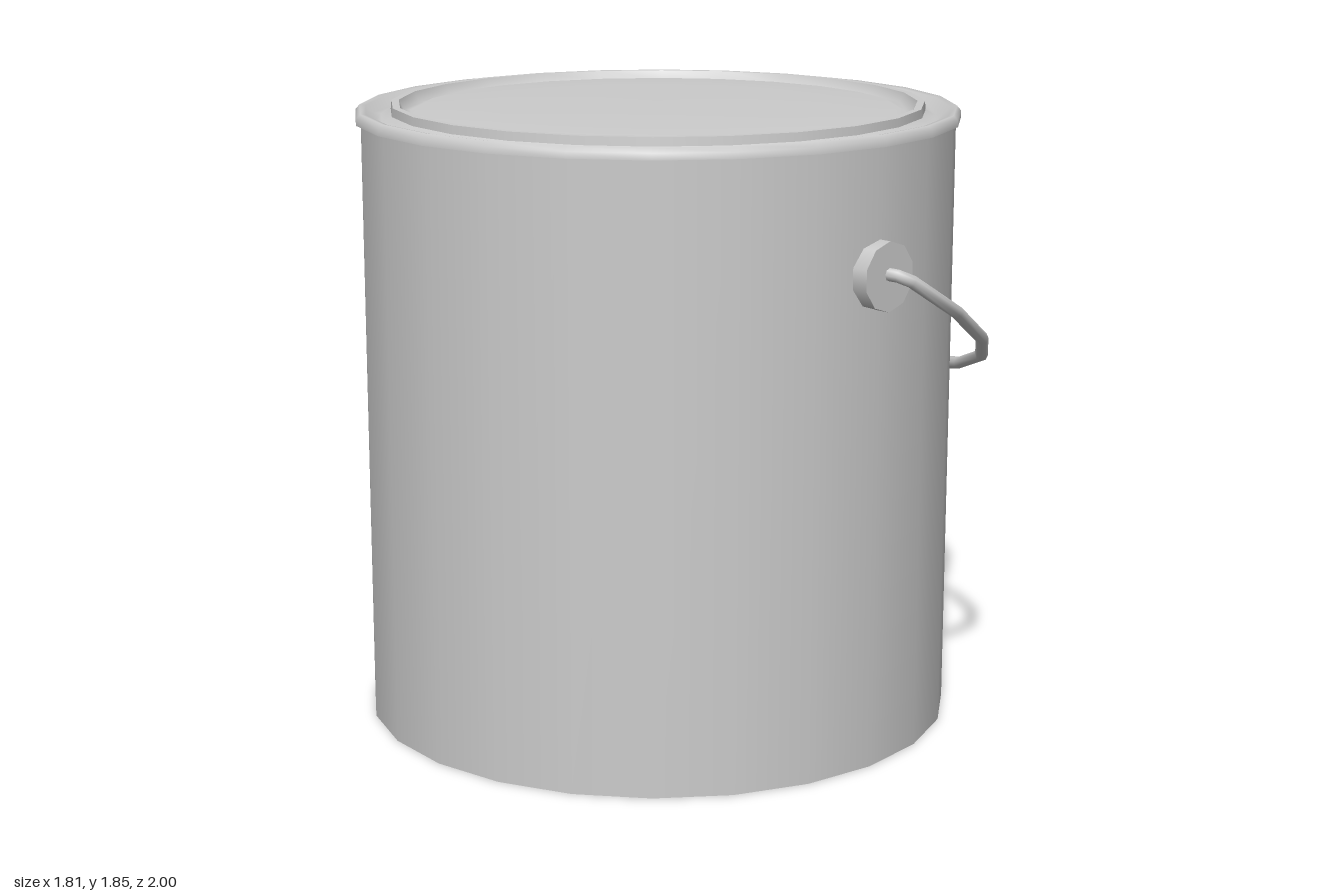
import * as THREE from 'three';

const material = new THREE.MeshStandardMaterial({ color: 0xcccccc });
const SIDES = 24;
const CX = -0.008, CZ = 0.004; // axis of the can

// Polyline curve whose samples fall exactly on its points
class WirePath extends THREE.Curve {
  constructor(points) {
    super();
    this.points = points;
  }
  getPointAt(t, target = new THREE.Vector3()) {
    return target.copy(this.points[Math.round(t * (this.points.length - 1))]);
  }
  getPoint(t, target) {
    return this.getPointAt(t, target);
  }
  getTangentAt(t, target = new THREE.Vector3()) {
    const p = this.points, i = Math.round(t * (p.length - 1));
    target.set(0, 0, 0);
    if (i > 0) target.add(p[i].clone().sub(p[i - 1]).normalize());
    if (i < p.length - 1) target.add(p[i + 1].clone().sub(p[i]).normalize());
    return target.normalize();
  }
}

function addMesh(parent, name, geometry) {
  const mesh = new THREE.Mesh(geometry, material);
  mesh.name = name;
  parent.add(mesh);
  return mesh;
}

// Profile runs from bottom/outside to top/inside so faces point outward
const lathe = (profile) =>
  new THREE.LatheGeometry(profile.map(([r, y]) => new THREE.Vector2(r, y)), SIDES);

export function createModel() {
  const model = new THREE.Group();
  model.name = 'paintCan';

  const can = new THREE.Group();
  can.name = 'can';
  can.position.set(CX, 0, CZ);
  model.add(can);

  // Straight wall and flat base
  addMesh(can, 'wall', new THREE.CylinderGeometry(0.883, 0.883, 1.81, SIDES, 1, true).translate(0, 0.905, 0));
  addMesh(can, 'base', new THREE.CircleGeometry(0.883, SIDES).rotateX(Math.PI / 2));

  // Rolled rim, sloping into the groove around the lid
  addMesh(can, 'rimUnderside', lathe([[0.875, 1.8], [0.898, 1.803]]));
  addMesh(can, 'rim', lathe([
    [0.898, 1.803], [0.897, 1.822], [0.885, 1.836], [0.868, 1.833], [0.845, 1.812], [0.822, 1.808], [0.793, 1.825],
  ]));

  // Lid: raised ring, narrow channel and gently domed panel
  addMesh(can, 'lidRingWall', lathe([[0.793, 1.82], [0.79, 1.85]]));
  addMesh(can, 'lidRingTop', lathe([[0.79, 1.85], [0.768, 1.85]]));
  addMesh(can, 'lidPanel', lathe([
    [0.768, 1.85], [0.755, 1.822], [0.735, 1.82], [0.71, 1.832], [0.5, 1.84], [0.25, 1.845], [0, 1.847],
  ]));

  // Round ears holding the handle
  for (const [name, side] of [['frontEar', 1], ['backEar', -1]]) {
    const ear = addMesh(model, name, new THREE.CylinderGeometry(0.1, 0.1, 0.075, 10).rotateX(Math.PI / 2));
    ear.position.set(CX, 1.445, side * 0.887);
  }

  // Wire handle lying in a plane that slopes down to the left; [x, z] of one half
  const half = [
    [-0.008, 0.9], [-0.008, 0.955], [0.02, 0.982], [0.235, 0.967], [0.45, 0.885],
    [0.635, 0.735], [0.775, 0.535], [0.86, 0.3],
  ];
  const outline = [...half, [0.887, 0], ...half.map(([x, z]) => [x, -z]).reverse()];
  const points = outline.map(([x, z]) => new THREE.Vector3(x, 1.447 - 0.555 * x, z));
  addMesh(model, 'handle', new THREE.TubeGeometry(new WirePath(points), points.length - 1, 0.019, 8));

  return model;
}
